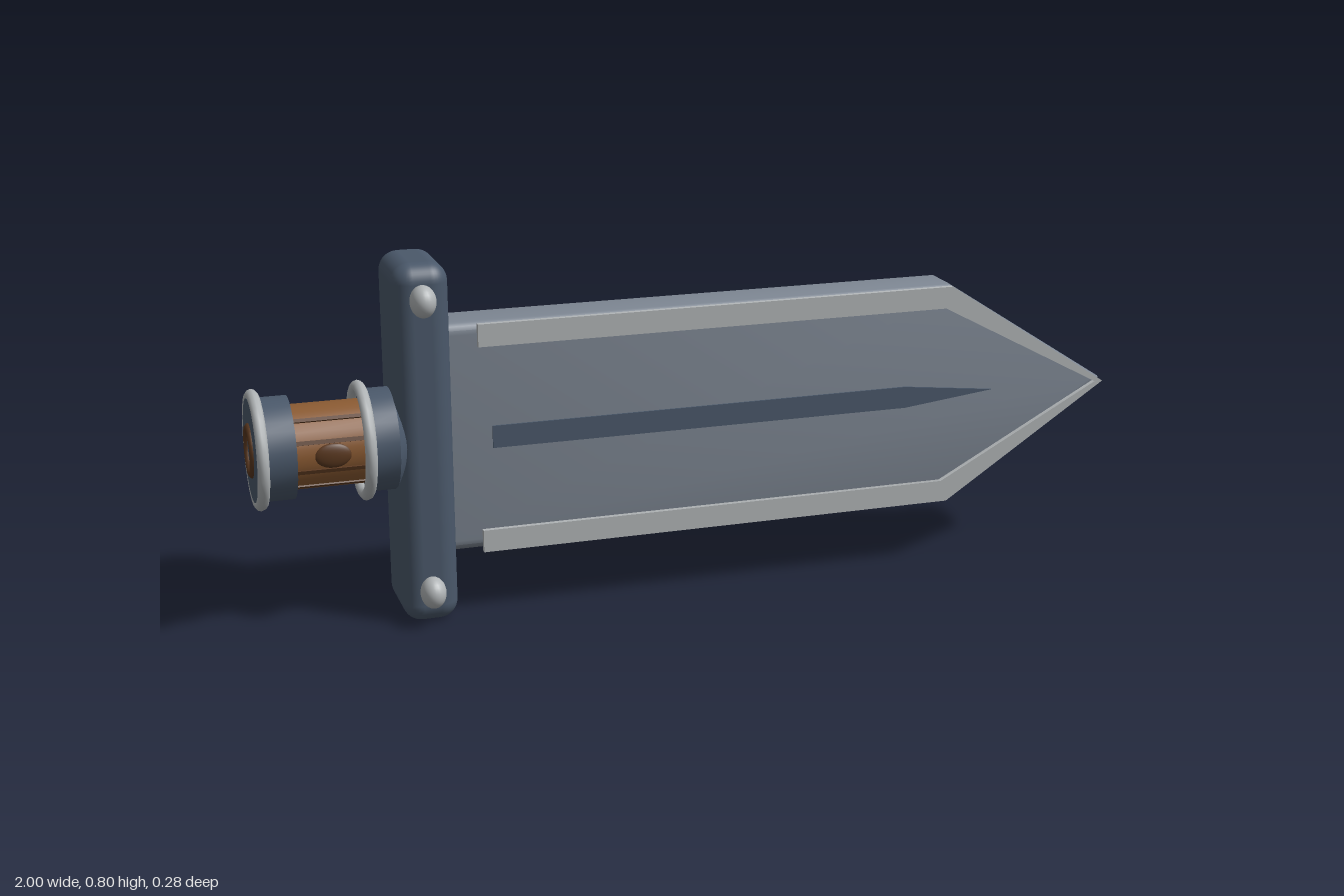
import * as THREE from 'three';
import { RoundedBoxGeometry } from 'three/addons/geometries/RoundedBoxGeometry.js';
import { toCreasedNormals } from 'three/addons/utils/BufferGeometryUtils.js';

const MID_Y = 0.402, MID_Z = -0.009;

const paint = (color) => new THREE.MeshStandardMaterial({ color });
const steel = paint(0x7b8490), darkSteel = paint(0x4a586a), silver = paint(0xb0b4b6);
const leather = paint(0x8a5a32), darkLeather = paint(0x5a381f);

export function createModel() {
  const sword = new THREE.Group();

  const add = (name, geometry, material, x = 0, y = 0, z = 0) => {
    const mesh = new THREE.Mesh(geometry, material);
    mesh.name = name;
    mesh.position.set(x, y, z);
    sword.add(mesh);
    return mesh;
  };

  // Flat plate cut from an outline around the sword's long axis
  const plate = (name, points, depth, z, material, bevel = 0) => {
    const shape = new THREE.Shape(points.map(([x, y]) => new THREE.Vector2(x, y)));
    const geometry = new THREE.ExtrudeGeometry(shape, {
      depth: depth - 2 * bevel, bevelEnabled: bevel > 0, bevelSize: bevel,
      bevelThickness: bevel, bevelOffset: -bevel, bevelSegments: 4,
    });
    return add(name, toCreasedNormals(geometry, 0.6), material, 0, MID_Y, z + bevel);
  };

  // Solid of revolution around the handle axis, from [x, radius] pairs
  const turned = (name, profile, material) => {
    const points = profile.map(([x, r]) => new THREE.Vector2(r, -x));
    const geometry = new THREE.LatheGeometry(points.reverse(), 32);
    geometry.rotateZ(Math.PI / 2);
    return add(name, toCreasedNormals(geometry, 0.6), material, 0, MID_Y, MID_Z);
  };

  const ring = (name, x, radius, tube, material) =>
    add(name, new THREE.TorusGeometry(radius, tube, 10, 24).rotateY(Math.PI / 2), material, x, MID_Y, MID_Z);

  // Blade
  plate('blade', [[-0.6, -0.257], [0.6, -0.257], [1, 0], [0.6, 0.257], [-0.6, 0.257]],
    0.127, -0.072, steel, 0.025);

  // Raised cutting edges, mirrored above and below the axis
  for (const side of [1, -1]) {
    const outline = [[-0.51, 0.207], [0.58, 0.207], [0.97, 0], [0.99, 0], [0.595, 0.257], [-0.51, 0.257]]
      .map(([x, y]) => [x, y * side]);
    plate(side > 0 ? 'upperEdge' : 'lowerEdge', outline, 0.012, 0.062, silver);
  }

  // Dark central fuller
  plate('fuller', [[-0.48, -0.025], [0.49, -0.025], [0.71, 0], [0.49, 0.025], [-0.48, 0.025]],
    0.012, 0.047, darkSteel);

  // Crossguard and its studs
  add('guard', new RoundedBoxGeometry(0.122, 0.8, 0.204, 5, 0.042), darkSteel, -0.63, 0.4, MID_Z);
  for (const y of [0.726, 0.078]) {
    const stud = add('guardStud', new THREE.SphereGeometry(0.035, 24, 16), silver, -0.632, y, 0.106);
    stud.scale.x = 0.8;
  }

  // Handle: grip, collars and pommel
  turned('grip', [[-0.92, 0], [-0.92, 0.092], [-0.74, 0.092], [-0.74, 0]], leather);
  turned('collar', [[-0.75, 0], [-0.75, 0.112], [-0.69, 0.112], [-0.66, 0.08], [-0.66, 0]], darkSteel);
  turned('pommel', [[-0.992, 0], [-0.992, 0.112], [-0.908, 0.112], [-0.908, 0]], darkSteel);
  ring('collarRing', -0.754, 0.118, 0.013, silver);
  ring('pommelRing', -0.98, 0.118, 0.013, silver);
  ring('pommelInlay', -0.99, 0.05, 0.01, darkLeather);

  // Dark strips and oval boss on the front of the grip
  for (const angle of [-0.9, -0.35, 0.35, 0.9]) {
    const strip = add('gripStrip', new THREE.BoxGeometry(0.15, 0.009, 0.008), darkLeather,
      -0.833, MID_Y + 0.091 * Math.sin(angle), MID_Z + 0.091 * Math.cos(angle));
    strip.rotation.x = -angle;
  }
  const boss = add('gripBoss', new THREE.SphereGeometry(1, 24, 12), darkLeather, -0.83, MID_Y, 0.08);
  boss.scale.set(0.04, 0.027, 0.01);

  return sword;
}
